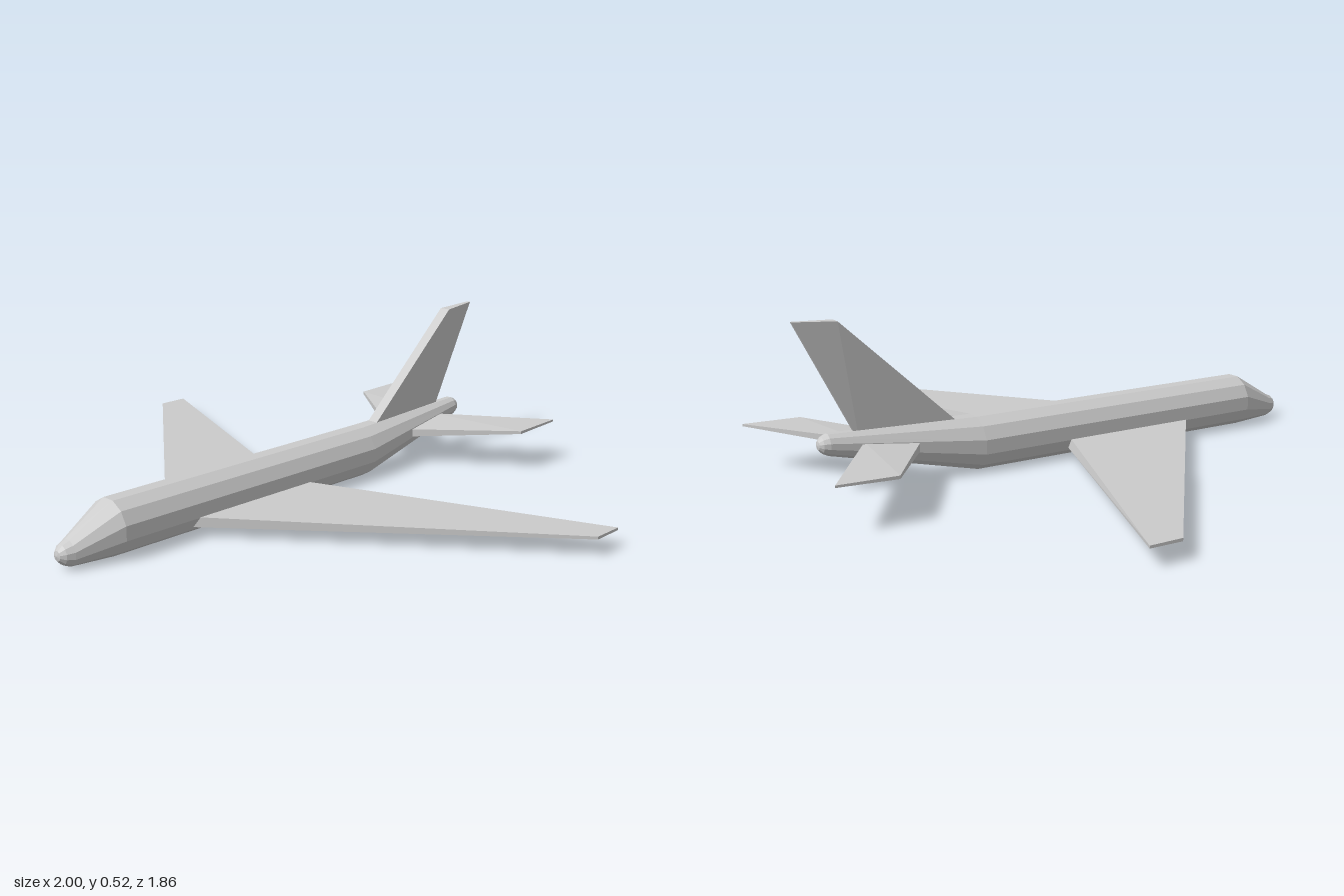
import * as THREE from 'three';
import { ConvexGeometry } from 'three/addons/geometries/ConvexGeometry.js';

const grey = new THREE.MeshStandardMaterial({ color: 0xcccccc, flatShading: true });

function addPart(parent, name, geometry) {
  const mesh = new THREE.Mesh(geometry, grey);
  mesh.name = name;
  parent.add(mesh);
}

// Skin through twelve-sided rings; each station is [z, centreY, halfWidth, halfHeight], nose first
function loft(stations, sides = 12) {
  const positions = [];
  const index = [];
  stations.forEach(([z, y, rx, ry]) => {
    for (let k = 0; k < sides; k++) {
      const a = ((k + 0.5) / sides) * Math.PI * 2;
      positions.push(rx * Math.cos(a), y + ry * Math.sin(a), z);
    }
  });
  for (let i = 0; i < stations.length - 1; i++) {
    for (let k = 0; k < sides; k++) {
      const next = (k + 1) % sides;
      const a = i * sides + k, c = i * sides + next;
      const b = a + sides, d = c + sides;
      index.push(a, b, c, c, b, d);
    }
  }
  const geometry = new THREE.BufferGeometry();
  geometry.setAttribute('position', new THREE.Float32BufferAttribute(positions, 3));
  geometry.setIndex(index);
  geometry.computeVertexNormals();
  return geometry;
}

// Solid panel from its corners, optionally mirrored across x
function panel(corners, side = 1) {
  return new ConvexGeometry(corners.map(([x, y, z]) => new THREE.Vector3(x * side, y, z)));
}

export function createModel() {
  const plane = new THREE.Group();
  plane.name = 'airliner';

  // Fuselage: rounded nose, straight barrel, upswept tail cone
  addPart(plane, 'fuselage', loft([
    [0.926, 0.050, 0, 0],
    [0.922, 0.050, 0.016, 0.016],
    [0.908, 0.050, 0.030, 0.031],
    [0.885, 0.050, 0.040, 0.041],
    [0.740, 0.090, 0.086, 0.088],
    [-0.310, 0.090, 0.086, 0.088],
    [-0.800, 0.154, 0.033, 0.034],
    [-0.818, 0.155, 0.026, 0.026],
    [-0.829, 0.155, 0.014, 0.014],
    [-0.832, 0.155, 0, 0],
  ]));

  // Swept wings and tailplanes, thick at the root and thin at the tip
  const wing = [
    [0.04, 0.069, 0.50], [0.04, 0.036, 0.50], [0.04, 0.069, 0.018], [0.04, 0.037, 0.010],
    [1, 0.068, -0.255], [1, 0.059, -0.255], [1, 0.068, -0.36], [1, 0.060, -0.36],
  ];
  const tailplane = [
    [0.02, 0.130, -0.50], [0.02, 0.102, -0.50], [0.02, 0.150, -0.69], [0.02, 0.125, -0.69],
    [0.37, 0.147, -0.74], [0.37, 0.137, -0.74], [0.37, 0.151, -0.93], [0.37, 0.144, -0.93],
  ];
  for (const [side, label] of [[1, 'left'], [-1, 'right']]) {
    addPart(plane, `${label}Wing`, panel(wing, side));
    addPart(plane, `${label}Tailplane`, panel(tailplane, side));
  }

  // Tail fin: blunt leading edge narrowing to a thin trailing edge
  const fin = [];
  for (const s of [1, -1]) {
    fin.push([0.019 * s, 0.15, -0.357], [0.019 * s, 0.521, -0.76],
      [0.006 * s, 0.529, -0.895], [0.006 * s, 0.15, -0.70]);
  }
  addPart(plane, 'tailFin', panel(fin));

  return plane;
}
